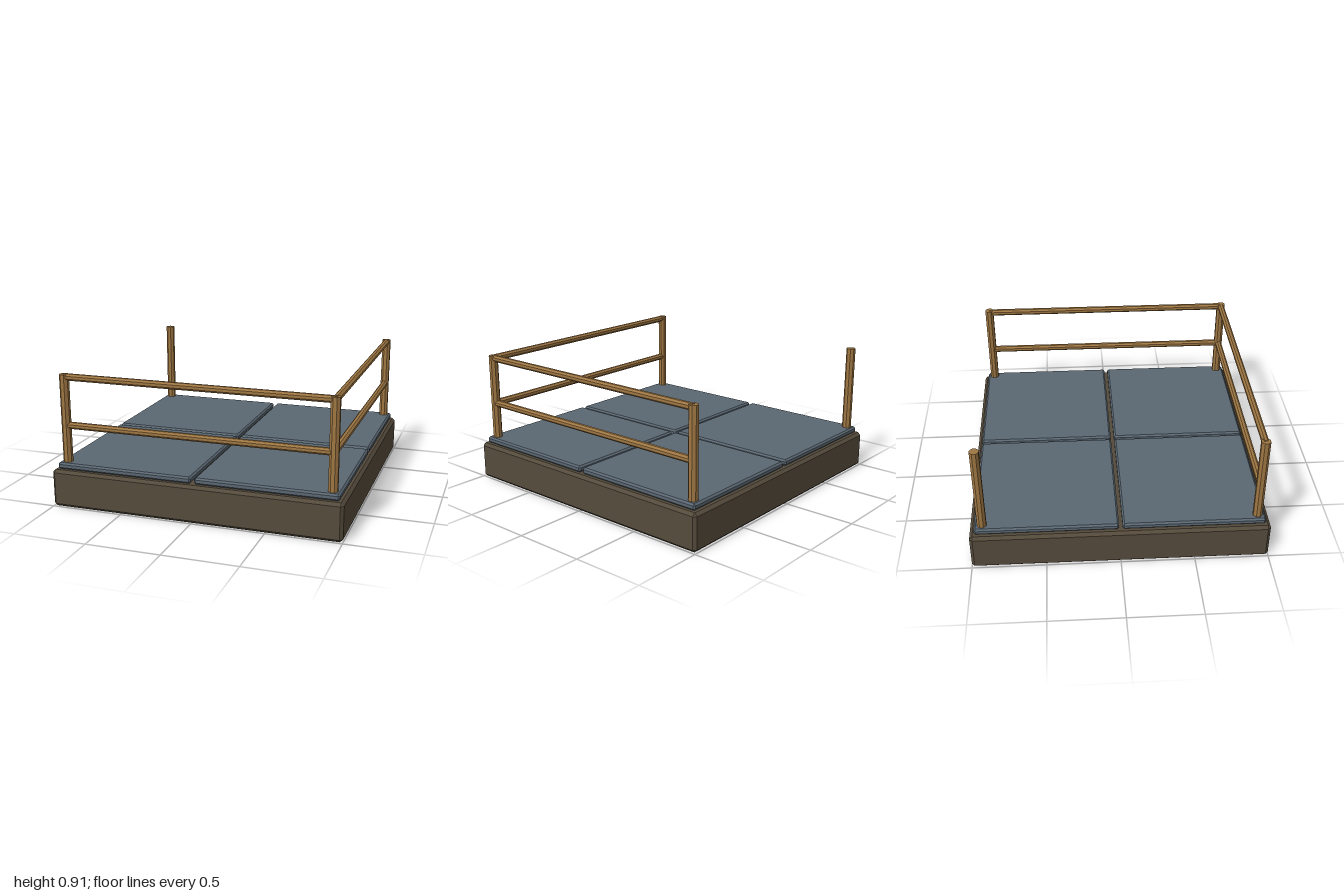
import * as THREE from 'three';
import { ConvexGeometry } from 'three/addons/geometries/ConvexGeometry.js';

const stone = new THREE.MeshStandardMaterial({ color: 0x554b3c, flatShading: true });
const slate = new THREE.MeshStandardMaterial({ color: 0x5a6772, flatShading: true });
const wood = new THREE.MeshStandardMaterial({ color: 0x9f7743, flatShading: true });

// Box with a single flat chamfer along every edge
function chamferBox(w, h, d, c) {
  const points = [];
  for (const x of [-1, 1]) for (const y of [-1, 1]) for (const z of [-1, 1]) {
    for (let axis = 0; axis < 3; axis++) {
      const inset = [c, c, c];
      inset[axis] = 0;
      points.push(new THREE.Vector3(
        x * (w / 2 - inset[0]), y * (h / 2 - inset[1]), z * (d / 2 - inset[2])));
    }
  }
  return new ConvexGeometry(points);
}

// Eight-sided bar, its flats squared to the axes
function bar(width, length) {
  const r = width / 2 / Math.cos(Math.PI / 8);
  return new THREE.CylinderGeometry(r, r, length, 8).rotateY(Math.PI / 8);
}

export function createModel() {
  const group = new THREE.Group();
  const add = (name, geometry, material, x, y, z) => {
    const mesh = new THREE.Mesh(geometry, material);
    mesh.name = name;
    mesh.position.set(x, y, z);
    group.add(mesh);
    return mesh;
  };

  // Foundation block
  add('foundation', chamferBox(2, 0.26, 2, 0.02), stone, 0, 0.13, 0);

  // Four floor slabs with narrow joints, and a post in each corner
  const corner = 0.915;
  const slab = chamferBox(0.956, 0.045, 0.956, 0.012);
  const post = bar(0.06, 0.63);
  for (const sx of [-1, 1]) for (const sz of [-1, 1]) {
    add('floorSlab', slab, slate, sx * 0.49, 0.2825, sz * 0.49);
    add('post', post, wood, sx * corner, 0.595, sz * corner);
  }

  // Two rails along the front and two along the left side
  const rail = bar(0.045, corner * 2);
  for (const y of [0.56, 0.892]) {
    add('frontRail', rail, wood, 0, y, corner).rotation.z = Math.PI / 2;
    add('leftRail', rail, wood, corner, y, 0).rotation.x = Math.PI / 2;
  }
  return group;
}
